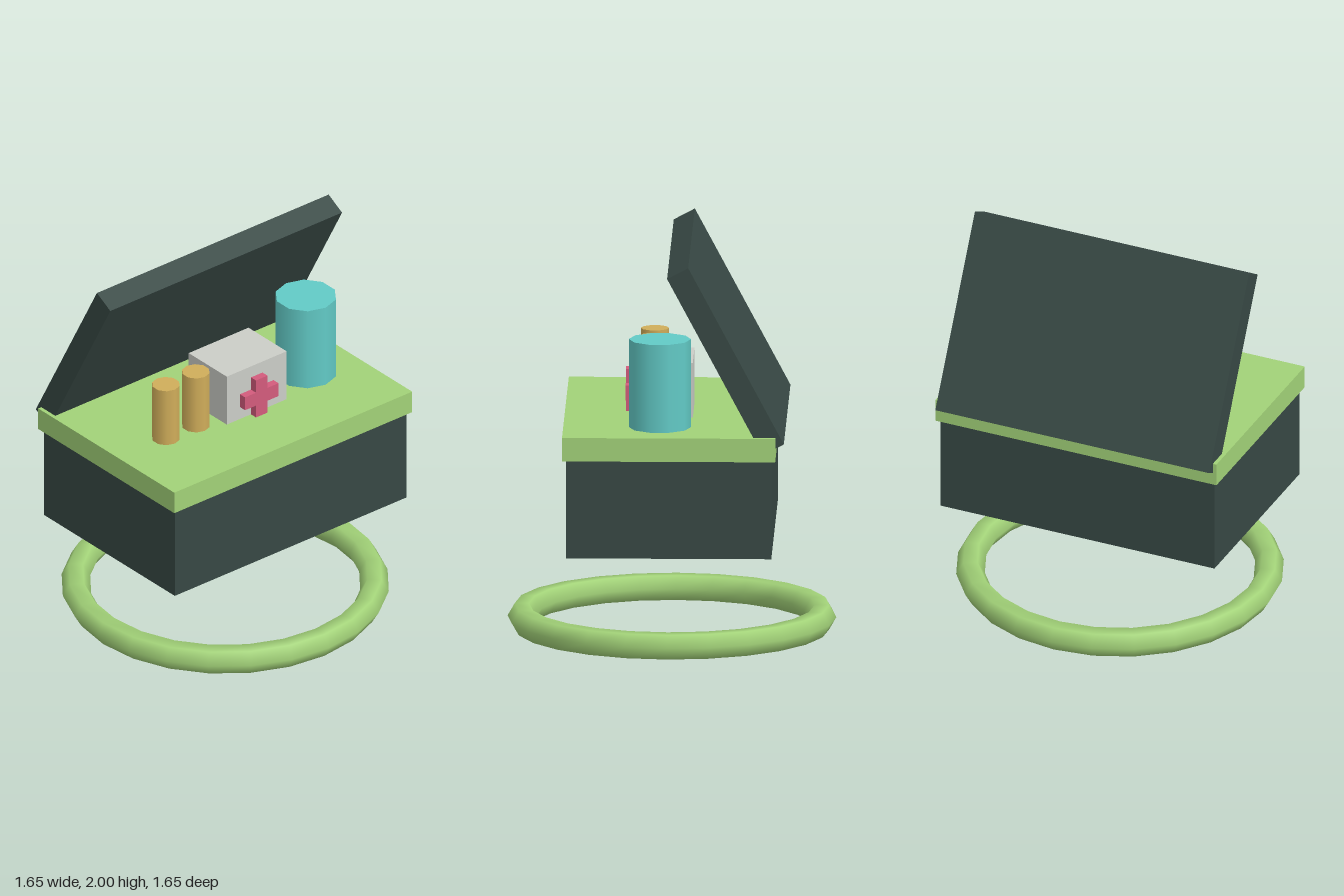
import * as THREE from 'three';

const paint = (name, color) => {
  const m = new THREE.MeshStandardMaterial({ color });
  m.name = name;
  return m;
};

export function createModel() {
  const slate = paint('dark slate', 0x374844);
  const green = paint('light green', 0xa2d278);
  const tan = paint('tan', 0xd0ad5a);
  const white = paint('off white', 0xcbcdc7);
  const pink = paint('pink', 0xd35b7c);
  const teal = paint('teal', 0x62cac6);

  const model = new THREE.Group();
  model.name = 'supplyCrate';

  // The floating crate is turned very slightly above its ring
  const crate = new THREE.Group();
  crate.name = 'crate';
  crate.rotation.y = 0.009;
  model.add(crate);

  const add = (parent, name, geometry, material, x, y, z) => {
    const mesh = new THREE.Mesh(geometry, material);
    mesh.name = name;
    mesh.position.set(x, y, z);
    parent.add(mesh);
    return mesh;
  };

  // Ground ring
  const ring = new THREE.TorusGeometry(0.753, 0.0722, 6, 24).rotateX(-Math.PI / 2);
  add(model, 'groundRing', ring, green, 0, 0.0635, 0);

  // Body, rim and open lid
  add(crate, 'body', new THREE.BoxGeometry(1.51, 0.5, 1.03), slate, 0, 0.76, 0);
  add(crate, 'rim', new THREE.BoxGeometry(1.55, 0.12, 1.07), green, 0, 1.07, 0);
  const lid = add(crate, 'lid', new THREE.BoxGeometry(1.51, 1.02, 0.12), slate, 0, 1.52, -0.285);
  lid.rotation.x = 0.49;

  // Contents standing on the rim
  const standing = (name, r, top, material, x, z) => {
    const h = top - 1.12;
    add(crate, name, new THREE.CylinderGeometry(r, r, h, 10), material, x, 1.12 + h / 2, z);
  };
  standing('outerVial', 0.071, 1.445, tan, -0.466, 0.096);
  standing('innerVial', 0.071, 1.445, tan, -0.271, 0.096);
  standing('canister', 0.156, 1.58, teal, 0.484, 0.05);

  add(crate, 'medicalBox', new THREE.BoxGeometry(0.39, 0.29, 0.3), white, 0.048, 1.265, 0.04);

  // Raised cross: a = half the arm width, b = half the span
  const a = 0.0375, b = 0.109;
  const outline = [[-a, -b], [a, -b], [a, -a], [b, -a], [b, a], [a, a],
    [a, b], [-a, b], [-a, a], [-b, a], [-b, -a], [-a, -a]];
  const shape = new THREE.Shape(outline.map(([x, y]) => new THREE.Vector2(x, y)));
  const cross = new THREE.ExtrudeGeometry(shape, { depth: 0.045, bevelEnabled: false });
  add(crate, 'cross', cross, pink, 0.048, 1.237, 0.185);

  return model;
}
